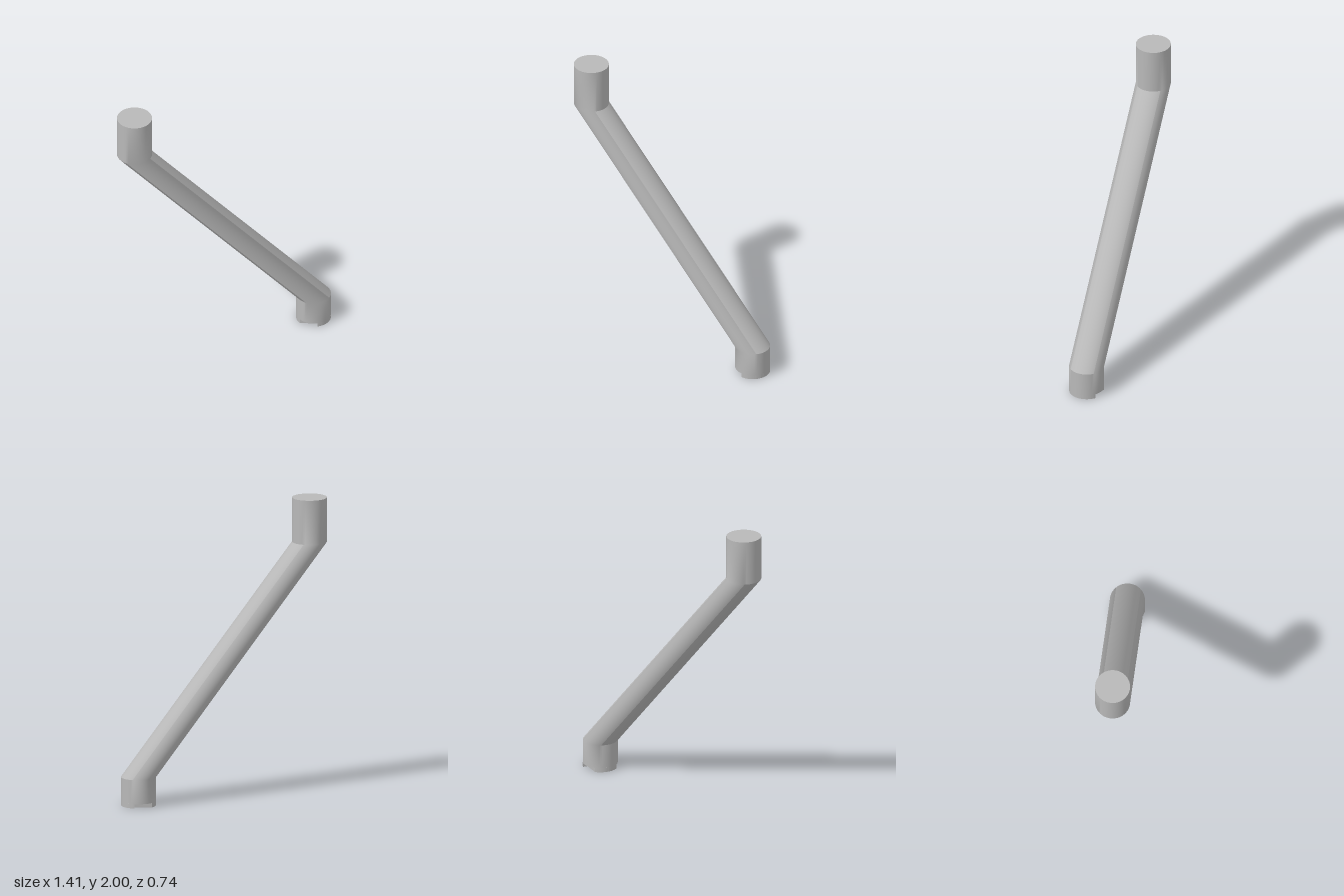
import * as THREE from 'three';
import { toCreasedNormals } from 'three/addons/utils/BufferGeometryUtils.js';

const R = 0.118, SIDES = 64, NOTCH_H = 0.03;
const TOP = [-0.59, 0.253], FOOT = [0.588, -0.253];

export function createModel() {
  const group = new THREE.Group();
  const grey = new THREE.MeshStandardMaterial({ color: 0xb8b8b8 });
  grey.name = 'plain grey';
  const add = (name, geometry, x = 0, y = 0, z = 0) => {
    const mesh = new THREE.Mesh(geometry, grey);
    mesh.name = name;
    mesh.position.set(x, y, z);
    group.add(mesh);
    return mesh;
  };

  // Pipe: horizontal rings, sheared sideways between the two bends
  const rings = [[2, TOP], [1.695, TOP], [0.195, FOOT], [NOTCH_H, FOOT]];
  const pipe = new THREE.CylinderGeometry(R, R, 3, SIDES, 3, true);
  const pos = pipe.attributes.position;
  for (let i = 0; i < pos.count; i++) {
    const [y, c] = rings[Math.round(1.5 - pos.getY(i))];
    pos.setXYZ(i, pos.getX(i) + c[0], y, pos.getZ(i) + c[1]);
  }
  add('pipe', toCreasedNormals(pipe, 0.55));

  // Flat upper end
  add('topCap', new THREE.CircleGeometry(R, SIDES).rotateX(-Math.PI / 2), TOP[0], 2, TOP[1]);

  // Sole: a disc with a shallow notch cut into its front and back
  const right = 0.033, depth = 0.08;
  const a0 = Math.acos(right / R), a1 = Math.PI - Math.asin(depth / R);
  const left = R * Math.cos(a1);
  const sole = new THREE.Shape();
  sole.absarc(0, 0, R, -a0, a0, false);
  sole.lineTo(right, depth);
  sole.lineTo(left, depth);
  sole.absarc(0, 0, R, a1, 2 * Math.PI - a1, false);
  sole.lineTo(right, -depth);
  const soleGeo = new THREE.ExtrudeGeometry(sole, { depth: NOTCH_H, bevelEnabled: false, curveSegments: 32 });
  add('sole', toCreasedNormals(soleGeo.rotateX(Math.PI / 2), 0.5), FOOT[0], NOTCH_H, FOOT[1]);

  // Ceilings of the two notches, facing down
  for (const side of [1, -1]) {
    const roof = new THREE.Shape();
    roof.moveTo(left, side * depth);
    roof.lineTo(right, side * depth);
    roof.absarc(0, 0, R, side * a0, side * a1, side < 0);
    add(side > 0 ? 'frontNotchCeiling' : 'backNotchCeiling',
      new THREE.ShapeGeometry(roof, 16).rotateX(Math.PI / 2), FOOT[0], NOTCH_H, FOOT[1]);
  }
  return group;
}
